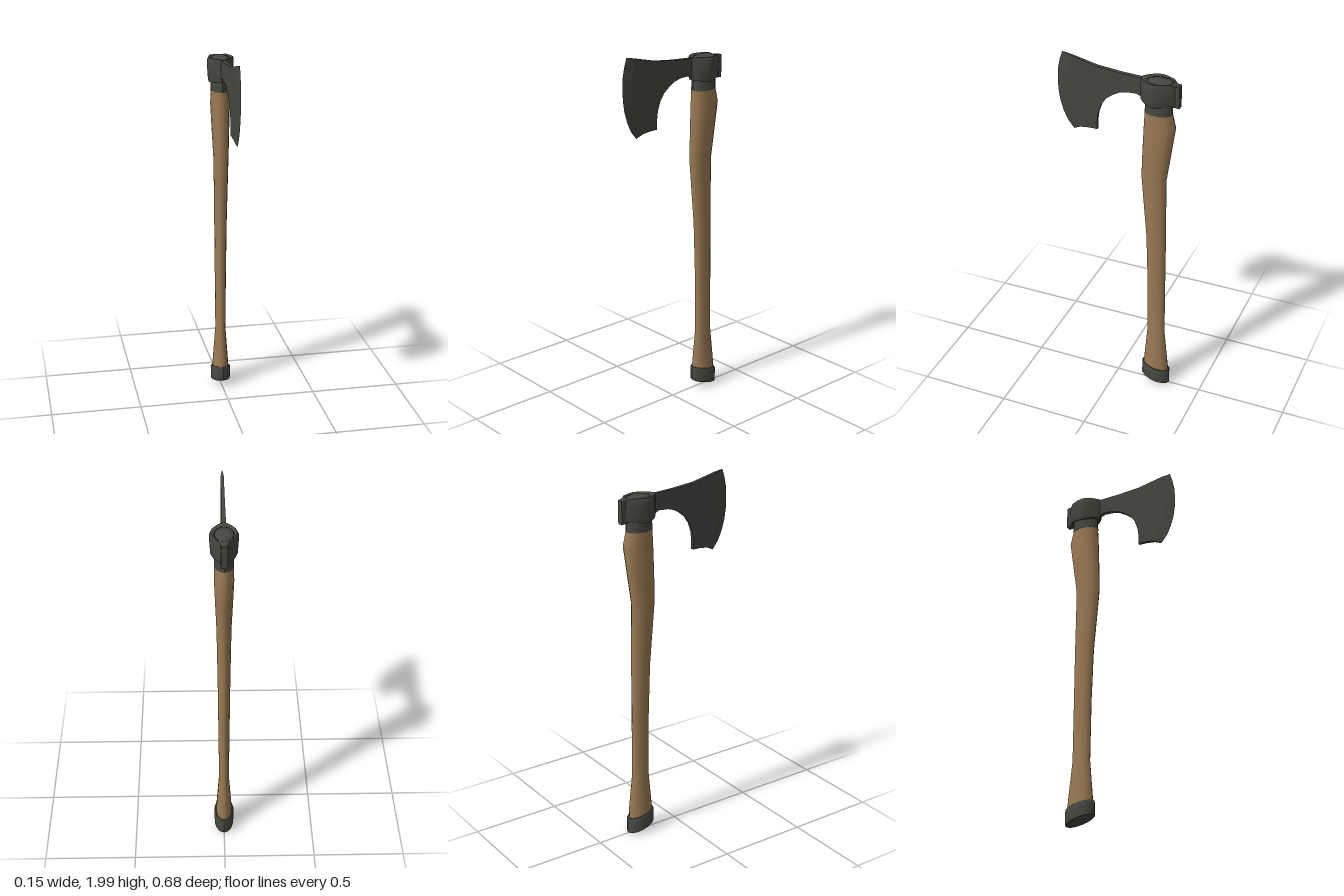
import * as THREE from 'three';
import { toCreasedNormals } from 'three/addons/utils/BufferGeometryUtils.js';

// Skins a stack of closed rings (counter-clockwise from above, bottom first) and caps both ends.
function loft(rings, crease = 0.6) {
  const n = rings[0].length, index = [];
  for (let i = 0; i < rings.length - 1; i++) {
    for (let j = 0; j < n; j++) {
      const a = i * n + j, b = i * n + (j + 1) % n;
      index.push(a, b, a + n, b, b + n, a + n);
    }
  }
  const top = (rings.length - 1) * n;
  for (let j = 1; j < n - 1; j++) {
    index.push(0, j + 1, j, top, top + j, top + j + 1);
  }
  const geo = new THREE.BufferGeometry();
  geo.setAttribute('position', new THREE.Float32BufferAttribute(rings.flat(2), 3));
  geo.setIndex(index);
  return toCreasedNormals(geo, crease);
}

// Oval ring from front and back z; slant tilts it along z.
function oval(y, front, back, rx, slant = 0, sides = 14) {
  const zc = (front + back) / 2, rz = (front - back) / 2;
  return Array.from({ length: sides }, (_, i) => {
    const a = i / sides * Math.PI * 2;
    return [rx * Math.sin(a), y + slant * rz * Math.cos(a), zc + rz * Math.cos(a)];
  });
}

export function createModel() {
  const group = new THREE.Group();
  const wood = new THREE.MeshStandardMaterial({ color: 0x9a7b54 });
  wood.name = 'wood';
  const iron = new THREE.MeshStandardMaterial({ color: 0x454741 });
  iron.name = 'dark iron';
  const add = (name, geo, mat) => {
    const mesh = new THREE.Mesh(geo, mat);
    mesh.name = name;
    group.add(mesh);
  };

  // Curved wooden handle
  add('handle', loft([
    oval(0.08, -0.155, -0.306, 0.046, 0.24),
    oval(0.14, -0.16, -0.303, 0.044),
    oval(0.36, -0.178, -0.281, 0.028),
    oval(0.7, -0.174, -0.278, 0.031),
    oval(1.0, -0.163, -0.276, 0.034),
    oval(1.2, -0.145, -0.273, 0.037),
    oval(1.37, -0.13, -0.272, 0.04),
    oval(1.52, -0.134, -0.293, 0.046),
    oval(1.68, -0.14, -0.315, 0.052),
    oval(1.76, -0.145, -0.295, 0.05),
  ], 0.9), wood);

  // Iron sleeve between handle and head, with a slightly domed top
  add('collar', loft([
    oval(1.757, -0.144, -0.296, 0.051),
    oval(1.90, -0.15, -0.295, 0.05),
    oval(1.935, -0.157, -0.292, 0.047),
    oval(1.944, -0.18, -0.27, 0.028),
  ]), iron);

  // Slanted butt cap
  add('buttCap', loft([
    oval(0.026, -0.158, -0.31, 0.046, 0.27),
    oval(0.032, -0.15, -0.316, 0.054, 0.27),
    oval(0.108, -0.15, -0.316, 0.055, 0.24),
    oval(0.116, -0.154, -0.312, 0.05, 0.24),
  ]), iron);

  // Eye of the head: teardrop ring narrowing to the poll at the back
  const side = [[0.012, -0.125], [0.04, -0.148], [0.065, -0.182], [0.073, -0.212],
    [0.062, -0.25], [0.042, -0.288], [0.02, -0.312], [0.018, -0.335]];
  const outline = [...side, ...side.slice().reverse().map(([x, z]) => [-x, z])];
  const bottom = [1.82, 1.815, 1.808, 1.806, 1.812, 1.82, 1.814, 1.806];
  const atRow = (i) => (i < 8 ? i : 15 - i);
  const outer = (s, yOf) => outline.map(([x, z], i) => [x * s, yOf(atRow(i)), z]);
  const inner = (y) => outline.map((_, i) => {
    const a = (i + 0.5) / 16 * Math.PI * 2;
    return [0.049 * Math.sin(a), y, -0.225 + 0.07 * Math.cos(a)];
  });
  const topY = (i) => (i > 5 ? 1.93 : 1.941);
  add('headEye', loft([
    outer(0.86, (i) => bottom[i]),
    outer(0.93, (i) => bottom[i] + 0.012),
    outer(1, () => 1.895),
    outer(1, (i) => topY(i) - 0.012),
    outer(0.92, topY),
    inner(1.936),
    inner(1.9),
  ]), iron);

  // Bearded blade: flat plate that thins toward the cutting edge
  const halfThickness = (z) => 0.0122 - 0.01 * (z + 0.14);
  const edge = [[0.254, 1.565], [0.29, 1.612], [0.312, 1.66], [0.33, 1.72], [0.339, 1.78],
    [0.341, 1.84], [0.339, 1.895], [0.328, 1.95], [0.312, 2.0]];
  const bevel = [[0.212, 1.586], [0.241, 1.632], [0.26, 1.675], [0.276, 1.73], [0.284, 1.785],
    [0.286, 1.84], [0.284, 1.89], [0.277, 1.94], [0.264, 1.989]];
  const plate = [...bevel, [0.12, 1.956], [0, 1.944], [-0.14, 1.936], [-0.14, 1.82],
    [-0.12, 1.838], [-0.1, 1.845], [-0.048, 1.842], [-0.005, 1.83], [0.03, 1.81],
    [0.068, 1.78], [0.095, 1.74], [0.112, 1.69], [0.118, 1.64], [0.117, 1.592], [0.16, 1.592]];
  const blade = new THREE.ExtrudeGeometry(
    new THREE.Shape(plate.map(([z, y]) => new THREE.Vector2(z, y))),
    { depth: 2, bevelEnabled: false });
  blade.translate(0, 0, -1).rotateY(-Math.PI / 2);
  const p = blade.attributes.position;
  for (let i = 0; i < p.count; i++) p.setX(i, p.getX(i) * halfThickness(p.getZ(i)));
  blade.computeVertexNormals();
  add('blade', blade, iron);

  // Ground wedge along the cutting edge
  add('cuttingEdge', loft(edge.map(([z, y], i) => {
    const [bz, by] = bevel[i], t = halfThickness(bz);
    return [[0, y, z], [t, by, bz], [-t, by, bz]];
  }), 0.3), iron);

  return group;
}
